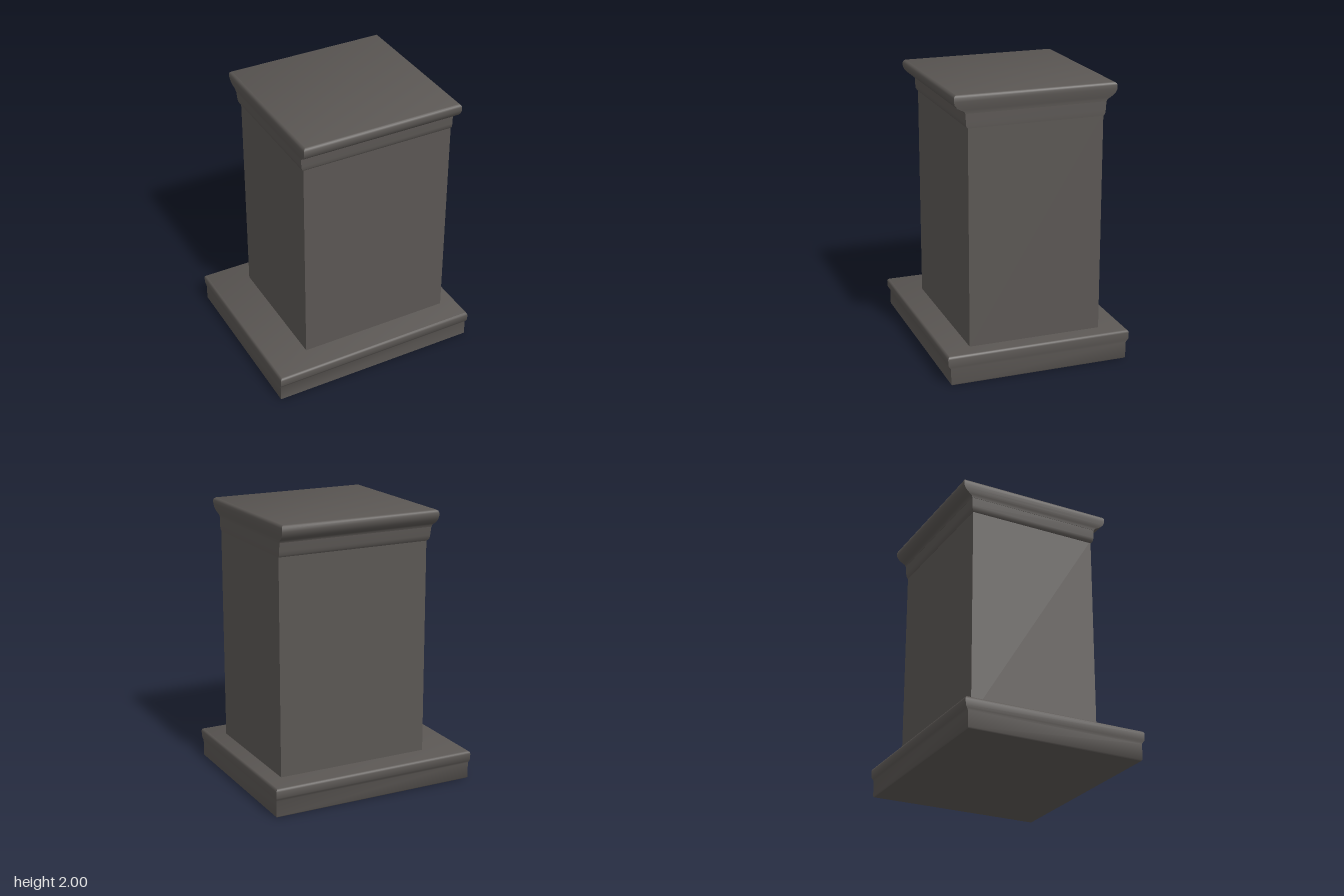
import * as THREE from 'three';
import { toCreasedNormals } from 'three/addons/utils/BufferGeometryUtils.js';

// Lofts a closed solid through rectangular sections, bottom to top.
// Each section is [y, left x, right x, back z, front z].
function loft(sections) {
  const pos = [];
  const corners = ([y, x0, x1, z0, z1]) => [[x0, y, z1], [x1, y, z1], [x1, y, z0], [x0, y, z0]];
  const quad = (a, b, c, d) => pos.push(...a, ...b, ...c, ...a, ...c, ...d);
  const rings = sections.map(corners);
  for (let i = 0; i < rings.length - 1; i++) {
    const lo = rings[i], hi = rings[i + 1];
    for (let k = 0; k < 4; k++) {
      const n = (k + 1) % 4;
      quad(lo[k], lo[n], hi[n], hi[k]);
    }
  }
  const [a, b, c, d] = rings[0];
  quad(d, c, b, a);
  quad(...rings[rings.length - 1]);
  const geo = new THREE.BufferGeometry();
  geo.setAttribute('position', new THREE.Float32BufferAttribute(pos, 3));
  return toCreasedNormals(geo, 0.75);
}

export function createModel() {
  const group = new THREE.Group();
  const stone = new THREE.MeshStandardMaterial({ color: 0x5a5653 });
  stone.name = 'dark stone';
  const add = (name, sections) => {
    const mesh = new THREE.Mesh(loft(sections), stone);
    mesh.name = name;
    group.add(mesh);
  };

  // Plinth with a rounded lip, fuller at the front and back
  add('plinth', [
    [0, -0.765, 0.765, -0.645, 0.645],
    [0.008, -0.772, 0.77, -0.652, 0.653],
    [0.12, -0.772, 0.77, -0.652, 0.653],
    [0.135, -0.774, 0.772, -0.66, 0.662],
    [0.15, -0.777, 0.775, -0.67, 0.673],
    [0.195, -0.778, 0.776, -0.672, 0.675],
    [0.208, -0.774, 0.773, -0.668, 0.671],
    [0.215, -0.765, 0.764, -0.658, 0.661],
  ]);

  // Plain shaft, set towards one side of the plinth
  add('shaft', [
    [0.21, -0.48, 0.655, -0.487, 0.48],
    [1.79, -0.48, 0.655, -0.487, 0.48],
  ]);

  // Band below the cap, flush with the shaft on the right-hand end
  add('neckBand', [
    [1.77, -0.482, 0.656, -0.488, 0.482],
    [1.785, -0.496, 0.657, -0.499, 0.492],
    [1.81, -0.5, 0.657, -0.503, 0.494],
    [1.88, -0.506, 0.657, -0.508, 0.496],
  ]);

  // Cap with a cove below and a rounded nose, nearly flush at both ends
  add('cap', [
    [1.87, -0.507, 0.658, -0.509, 0.497],
    [1.885, -0.509, 0.659, -0.514, 0.505],
    [1.895, -0.512, 0.661, -0.53, 0.527],
    [1.908, -0.516, 0.664, -0.55, 0.551],
    [1.93, -0.519, 0.668, -0.57, 0.571],
    [1.955, -0.522, 0.671, -0.58, 0.579],
    [1.98, -0.522, 0.671, -0.58, 0.579],
    [1.992, -0.517, 0.667, -0.574, 0.573],
    [2, -0.506, 0.656, -0.562, 0.561],
  ]);
  return group;
}
